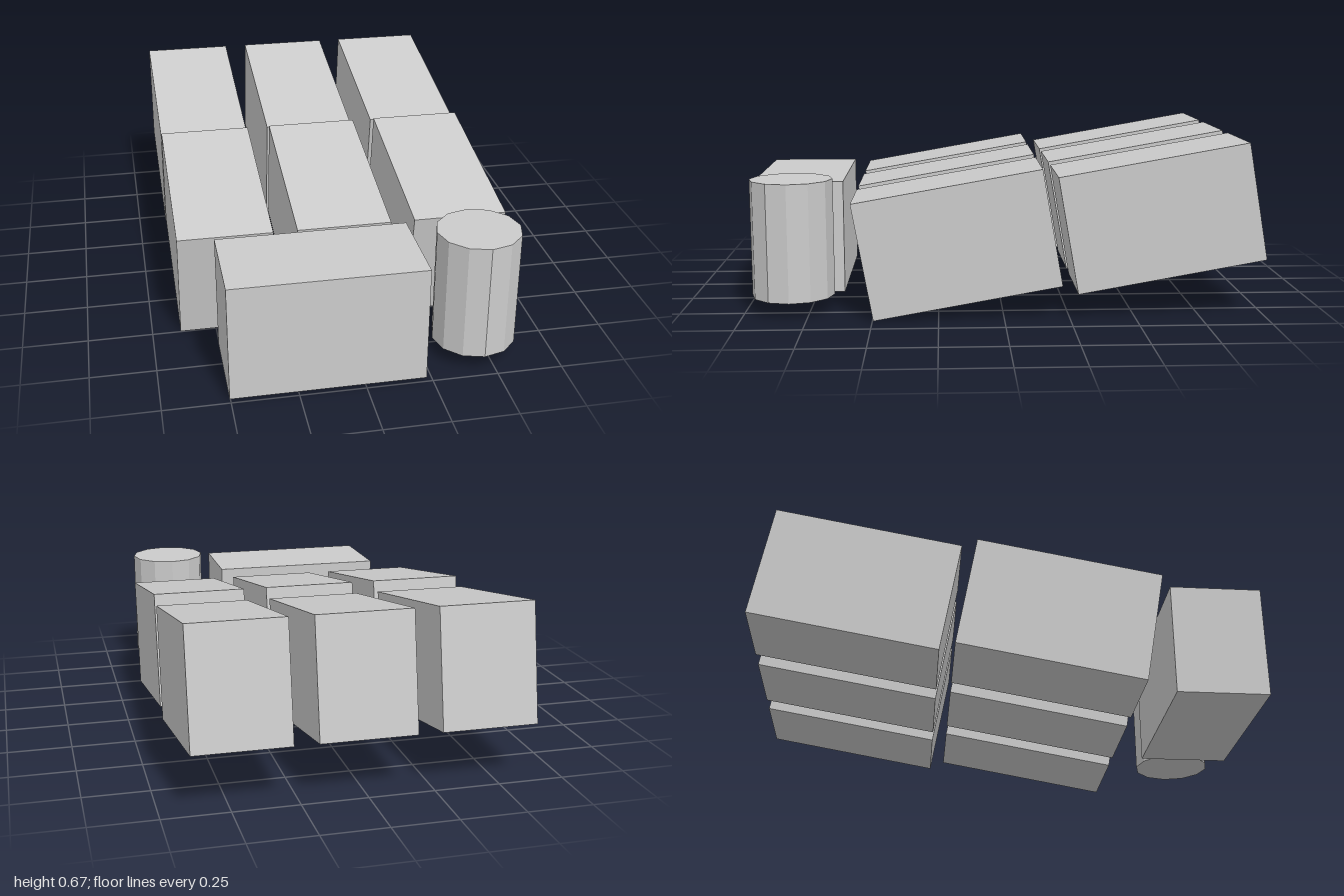
import * as THREE from 'three';

export function createModel() {
  const model = new THREE.Group();
  const material = new THREE.MeshStandardMaterial({ color: 0xcccccc, flatShading: true });
  const blockGeometry = new THREE.BoxGeometry(0.365, 0.455, 0.73);

  const add = (name, geometry, x, y, z) => {
    const mesh = new THREE.Mesh(geometry, material);
    mesh.name = name;
    mesh.position.set(x, y, z);
    model.add(mesh);
    return mesh;
  };

  // Two rows of three blocks, tilted up towards the back
  const rows = [
    { name: 'frontBlock', y: 0.2875, z: 0.177 },
    { name: 'backBlock', y: 0.3825, z: -0.601 },
  ];
  for (const row of rows) {
    for (let i = -1; i <= 1; i++) {
      const block = add(`${row.name}${i + 2}`, blockGeometry, i * 0.4575, row.y, row.z);
      block.rotation.x = THREE.MathUtils.degToRad(10);
    }
  }

  // Level block lying across the front
  add('crossBlock', new THREE.BoxGeometry(0.73, 0.456, 0.365), -0.14, 0.245, 0.8175);

  // Upright twelve-sided cylinder beside it
  add('cylinder', new THREE.CylinderGeometry(0.16, 0.16, 0.456, 12), 0.454, 0.291, 0.815);

  return model;
}
